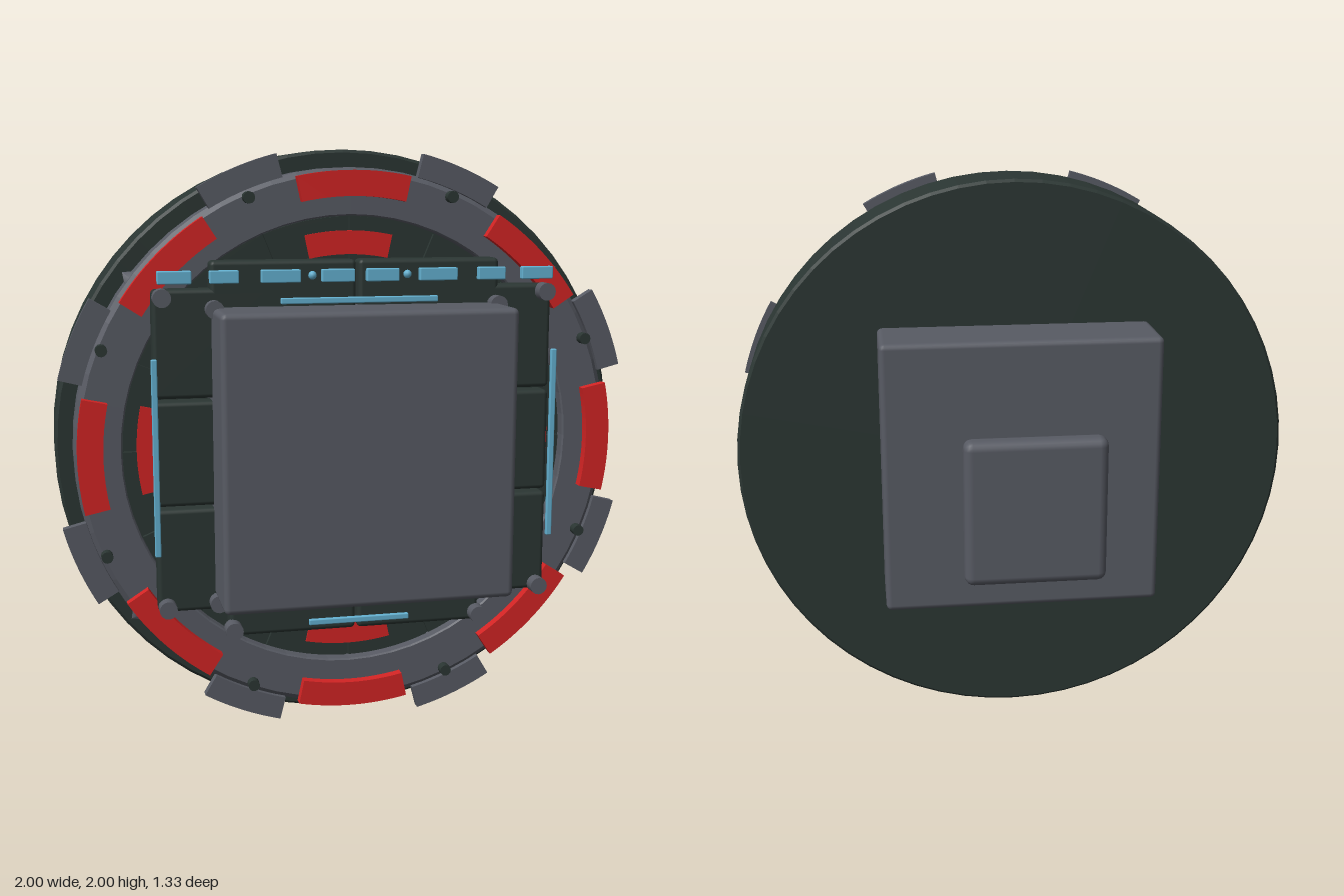
import * as THREE from 'three';
import { RoundedBoxGeometry } from 'three/addons/geometries/RoundedBoxGeometry.js';

const mat = (name, color) => {
  const m = new THREE.MeshStandardMaterial({ color });
  m.name = name;
  return m;
};

export function createModel() {
  const dark = mat('dark green black', 0x2b3633);
  const grey = mat('slate grey', 0x585b64);
  const red = mat('signal red', 0xd42424);
  const blue = mat('light blue', 0x64b2d2);

  const model = new THREE.Group();
  const body = new THREE.Group(); // built around the disc axis
  body.name = 'device';
  body.position.y = 1;
  model.add(body);

  const add = (name, geo, material, x = 0, y = 0, z = 0) => {
    const m = new THREE.Mesh(geo, material);
    m.name = name;
    m.position.set(x, y, z);
    body.add(m);
    return m;
  };
  // box given by its limits on each axis
  const box = (name, material, x0, x1, y0, y1, z0, z1, r = 0.015) => {
    const s = [x1 - x0, y1 - y0, z1 - z0];
    const geo = r ? new RoundedBoxGeometry(...s, 2, r) : new THREE.BoxGeometry(...s);
    return add(name, geo, material, (x0 + x1) / 2, (y0 + y1) / 2, (z0 + z1) / 2);
  };
  // cylinder along z
  const rod = (name, material, r, x, y, z0, z1, n = 24) =>
    add(name, new THREE.CylinderGeometry(r, r, z1 - z0, n).rotateX(Math.PI / 2), material, x, y, (z0 + z1) / 2);
  // solid of revolution about z, profile as [radius, z]
  const turn = (name, material, pts) => {
    const geo = new THREE.LatheGeometry(pts.map(([r, z]) => new THREE.Vector2(r, z)), 64).rotateX(Math.PI / 2).toNonIndexed();
    geo.computeVertexNormals();
    return add(name, geo, material);
  };
  // curved bar between two radii, centred on angle a
  const arc = (name, material, r0, r1, a, half, z0, z1) => {
    const s = new THREE.Shape();
    s.absarc(0, 0, r1, a - half, a + half, false);
    s.absarc(0, 0, r0, a + half, a - half, true);
    return add(name, new THREE.ExtrudeGeometry(s, { depth: z1 - z0, bevelEnabled: false, curveSegments: 8 }), material, 0, 0, z0);
  };

  // main disc
  turn('mainDisc', dark, [[0, -0.05], [0.99, -0.05], [1, -0.04], [1, 0.205], [0.99, 0.215], [0, 0.215]]);
  // raised ring with chamfered rim
  turn('frontRing', grey, [[0.78, 0.21], [0.94, 0.21], [0.94, 0.315], [0.92, 0.335], [0.785, 0.335], [0.78, 0.33], [0.78, 0.21]]);

  // recessed centre made of sectors with narrow gaps
  rod('recessFloor', dark, 0.78, 0, 0, 0.2, 0.285, 64);
  for (let i = 0; i < 16; i++) arc('recessSector', dark, 0.4, 0.776, (i + 0.5) * Math.PI / 8, Math.PI / 16 - 0.006, 0.28, 0.3);

  for (let i = 0; i < 8; i++) {
    const a = i * Math.PI / 4, b = a + Math.PI / 8;
    arc('outerLight', red, 0.845, 0.93, a, 0.21, 0.36, 0.394);
    arc('edgeTab', grey, 0.935, 1.015, b, 0.142, 0.305, 0.338);
    rod('ringBolt', dark, 0.02, 0.91 * Math.cos(b), 0.91 * Math.sin(b), 0.33, 0.368, 12);
    if (i % 2 === 0) arc('innerLight', red, 0.65, 0.73, a, 0.21, 0.298, 0.307);
  }

  // pointed studs on the ring rim
  for (const sx of [-1, 1]) for (const sy of [-1, 1]) {
    const stud = add('rimStud', new THREE.ConeGeometry(0.04, 0.04, 6), grey, sx * 0.745, sy * 0.585, 0.27);
    stud.rotation.z = Math.atan2(sy * 0.585, sx * 0.745) - Math.PI / 2;
  }

  // cross of dark panels around the front block
  for (const s of [-1, 1]) {
    const side = (name, x0, x1, y0, y1) =>
      box(name, dark, Math.min(s * x0, s * x1), Math.max(s * x0, s * x1), y0, y1, 0.36, 0.44);
    for (const [y0, y1] of [[-0.53, -0.178], [-0.168, 0.183], [0.193, 0.55]]) side('sidePanel', 0.3, 0.68, y0, y1);
    side('topPanel', 0.004, 0.49, 0.4, 0.64);
    side('bottomPanel', 0.004, 0.44, -0.63, -0.4);
    // corner studs
    for (const [x, y] of [[0.65, 0.525], [0.65, -0.51], [0.48, 0.485], [0.48, -0.5], [0.43, -0.6]])
      rod('panelStud', grey, 0.03, s * x, y, 0.43, 0.482, 16);
    // blue strips
    box('sideStrip', blue, s * 0.68 - 0.01, s * 0.68 + 0.01, -0.325, 0.33, 0.468, 0.484, 0.004);
    for (const [x, w] of [[0.61, 0.11], [0.45, 0.095], [0.265, 0.13], [0.075, 0.11]])
      box('topDash', blue, s * x - w / 2, s * x + w / 2, 0.57, 0.612, 0.464, 0.49, 0.004);
    add('topDot', new THREE.SphereGeometry(0.014, 10, 8), blue, s * 0.16, 0.592, 0.475);
  }
  for (const [y, h] of [[0.51, 0.265], [-0.5, 0.265], [-0.585, 0.175]])
    box('crossStrip', blue, -h, h, y - 0.01, y + 0.01, 0.468, 0.484, 0.004);

  // front and back blocks
  box('frontBlock', grey, -0.488, 0.488, -0.483, 0.49, 0.25, 0.665, 0.02);
  box('backBlock', grey, -0.488, 0.488, -0.483, 0.49, -0.305, 0, 0.02);

  // rear mount
  rod('mountBase', grey, 0.135, 0, 0, -0.345, -0.29, 32);
  rod('mountShaft', dark, 0.085, 0, 0, -0.6, -0.3, 32);
  turn('mountCollar', grey, [[0, -0.542], [0.125, -0.542], [0.135, -0.53], [0.135, -0.48], [0.125, -0.468], [0, -0.468]]);
  box('mountPlate', grey, -0.235, 0.235, -0.245, 0.25, -0.665, -0.585, 0.03);
  for (const x of [-0.18, 0.18]) for (const y of [-0.2, 0.2]) rod('plateBolt', grey, 0.03, x, y, -0.6, -0.565, 12);

  return model;
}
